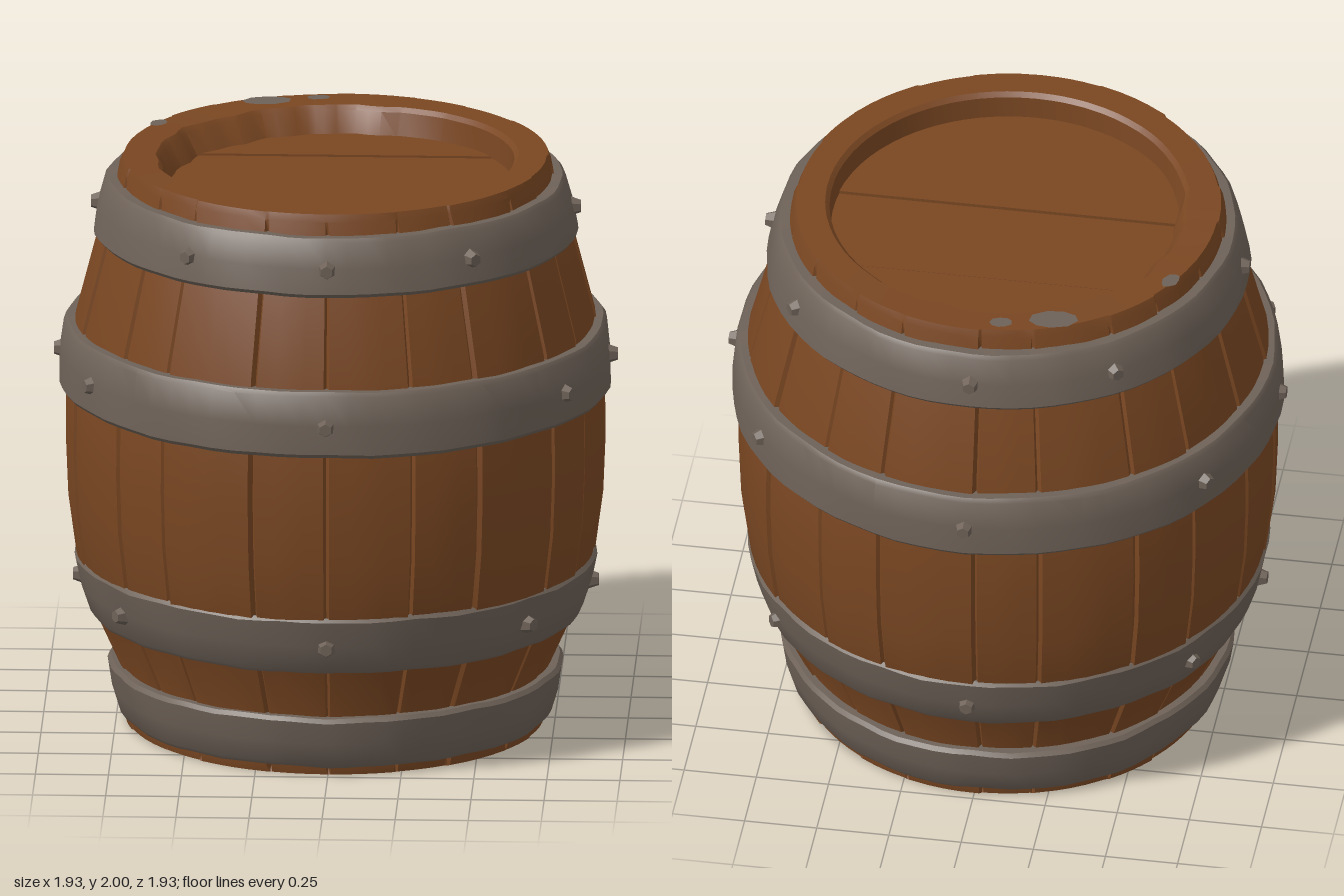
import * as THREE from 'three';
import { toCreasedNormals } from 'three/addons/utils/BufferGeometryUtils.js';

const V = (x, y) => new THREE.Vector2(x, y);
const deg = Math.PI / 180;

// Small repeatable unevenness around the barrel
const wobble = (t, seed) =>
  (Math.sin(t * 7 + seed * 2.1) + Math.sin(t * 13 + seed * 4.7) + Math.sin(t * 23 + seed)) / 3;

// Lathe whose vertices are moved by rule(angle, radius, height, segment) -> [radius, height, angle]
function shapedLathe(points, segments, rule, crease = 0.5) {
  const geo = new THREE.LatheGeometry(points, segments);
  const pos = geo.attributes.position;
  const rows = points.length;
  for (let i = 0; i < pos.count; i++) {
    const seg = Math.floor(i / rows) % segments;
    const p = points[i % rows];
    const [r, y, t] = rule((seg / segments) * Math.PI * 2, p.x, p.y, seg);
    pos.setXYZ(i, r * Math.sin(t), y, r * Math.cos(t));
  }
  geo.deleteAttribute('normal');
  geo.deleteAttribute('uv');
  return toCreasedNormals(geo, crease);
}

export function createModel() {
  const wood = new THREE.MeshStandardMaterial({ color: 0x7a4722 });
  wood.name = 'wood';
  const metal = new THREE.MeshStandardMaterial({ color: 0x6e6258 });
  metal.name = 'metal';

  const barrel = new THREE.Group();
  barrel.name = 'barrel';
  const add = (name, geo, mat, parent = barrel) => {
    const mesh = new THREE.Mesh(geo, mat);
    mesh.name = name;
    parent.add(mesh);
    return mesh;
  };

  // Staves: bulging shell with narrow grooves, rim on top and recess wall inside
  const outline = [
    V(0.715, 0), V(0.72, 0.02), V(0.735, 0.2), V(0.825, 0.4), V(0.885, 0.6), V(0.912, 0.8),
    V(0.92, 1), V(0.918, 1.18), V(0.885, 1.44), V(0.81, 1.73), V(0.745, 1.92), V(0.735, 1.975),
    V(0.725, 2), V(0.625, 2), V(0.61, 1.985), V(0.605, 1.9),
  ];
  const staves = 20, perStave = 6;
  const steps = [0, 0.035, 0.3, 0.5, 0.7, 0.965];
  add('staves', shapedLathe(outline, staves * perStave, (a, r, y, seg) => {
    const k = Math.floor(seg / perStave), s = seg % perStave;
    const t = ((k + steps[s] + 0.12 * Math.sin(k * 2.7) * (1 - steps[s])
      + 0.12 * Math.sin(((k + 1) % staves) * 2.7) * steps[s]) / staves) * Math.PI * 2;
    if (r < 0.64 && y > 1.8) {
      // worn inner edge towards the back left
      const worn = Math.max(0, Math.cos(t + 140 * deg));
      const slope = y < 1.95 ? 0.055 : 0.012;
      return [r - worn * (slope + 0.02 * wobble(t, 3)), y - (y > 1.95 ? worn * 0.008 : 0), t];
    }
    const groove = s === 0 && y > 0.01 && y < 1.97 ? 0.014 : 0;
    return [r - groove + 0.004 * Math.sin(k * 4.3), y, t];
  }, 0.45), wood);

  // Lid boards, each a slice of a disc lying in the recess
  const lid = new THREE.Group();
  lid.name = 'lid';
  barrel.add(lid);
  const R = 0.63;
  [[-0.62, -0.312, 1.905], [-0.304, 0.084, 1.9], [0.09, 0.62, 1.907]].forEach(([z0, z1, top]) => {
    const pts = [];
    for (let i = 0; i <= 12; i++) {
      const z = z0 + ((z1 - z0) * i) / 12;
      pts.push(V(Math.sqrt(R * R - z * z), -z));
    }
    const mirrored = pts.map((p) => V(-p.x, p.y)).reverse();
    const geo = new THREE.ExtrudeGeometry(new THREE.Shape([...pts, ...mirrored]),
      { depth: 0.04, bevelEnabled: false });
    geo.rotateX(-Math.PI / 2);
    geo.translate(0, top - 0.04, 0);
    add('lidBoard', geo, wood, lid);
  });
  const backing = add('lidBacking', new THREE.CircleGeometry(0.64, 40), wood, lid);
  backing.rotation.x = -Math.PI / 2;
  backing.position.y = 1.88;

  // Underside plate
  const bottom = add('bottom', new THREE.CircleGeometry(0.72, 60), metal);
  bottom.rotation.x = Math.PI / 2;
  bottom.position.y = 0.001;

  // Hoops: bottom and top height, bottom and top radius, rivet angles
  const hoops = [
    { y0: 0.03, y1: 0.215, r0: 0.742, r1: 0.778, rivets: [] },
    { y0: 0.395, y1: 0.605, r0: 0.845, r1: 0.893, rivets: [0, 51, 90, 125, 180, 235, 270, 305] },
    { y0: 1.19, y1: 1.42, r0: 0.943, r1: 0.927, rivets: [0, 59, 90, 125, 180, 235, 270, 299] },
    { y0: 1.73, y1: 1.93, r0: 0.828, r1: 0.788, rivets: [0, 37, 90, 126, 180, 216, 270, 324] },
  ];
  hoops.forEach(({ y0, y1, r0, r1, rivets }, n) => {
    const hoop = new THREE.Group();
    hoop.name = 'hoop';
    barrel.add(hoop);
    const mid = (r0 + r1) / 2 + 0.006, ym = (y0 + y1) / 2;
    const inner = Math.min(r0, r1) - 0.06;
    const band = [
      V(inner, y0), V(r0 - 0.012, y0), V(r0, y0 + 0.014), V(mid, ym),
      V(r1, y1 - 0.014), V(r1 - 0.012, y1), V(inner, y1),
    ];
    add('hoopBand', shapedLathe(band, 72, (t, r, y) => [
      r + (r > inner ? 0.005 * wobble(t, n + y * 3) : 0),
      y + (Math.abs(y - ym) > 0.05 ? 0.004 * wobble(t, n + 5) : 0), t,
    ], 0.6), metal, hoop);

    // Rivets: blunt six-sided studs
    rivets.forEach((angle) => {
      const geo = new THREE.CylinderGeometry(0.022, 0.036, 0.04, 6);
      geo.rotateX(Math.PI / 2);
      geo.translate(0, 0, mid + 0.004);
      geo.rotateY(angle * deg);
      geo.translate(0, ym - 0.005, 0);
      add('rivet', toCreasedNormals(geo, 0.3), metal, hoop);
    });
  });

  // Grey worn patches on the rim: x, z, half length, half width, turn
  [[-0.26, -0.63, 0.085, 0.048, 0.25], [-0.085, -0.675, 0.038, 0.028, 0.1],
    [-0.62, -0.35, 0.042, 0.026, 1.05]].forEach(([x, z, a, b, turn], n) => {
    const pts = [];
    for (let i = 0; i < 9; i++) {
      const t = (i / 9) * Math.PI * 2, w = 1 + 0.2 * wobble(t, n);
      pts.push(V(a * w * Math.cos(t), b * w * Math.sin(t)));
    }
    const geo = new THREE.ShapeGeometry(new THREE.Shape(pts));
    geo.rotateX(-Math.PI / 2);
    geo.rotateY(turn);
    add('rimPatch', geo, metal).position.set(x, 2.002, z);
  });

  return barrel;
}
